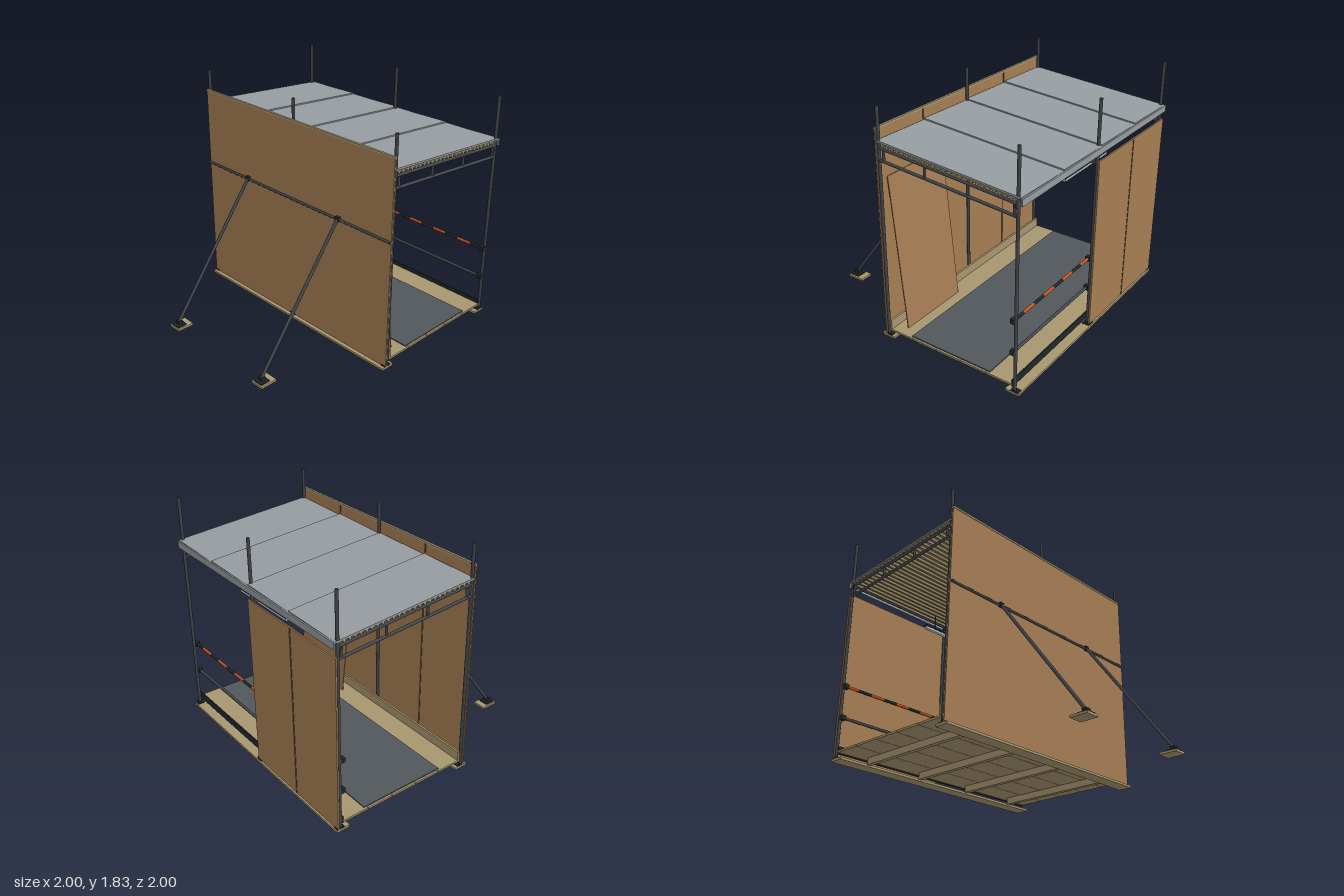
import * as THREE from 'three';

const mat = (name, color) => {
  const m = new THREE.MeshStandardMaterial({ color });
  m.name = name;
  return m;
};

export function createModel() {
  const root = new THREE.Group();
  root.name = 'coveredWalkway';
  const steel = mat('steel', 0x44484d);
  const clampMat = mat('darkClamp', 0x20282a);
  const ply = mat('plywood', 0xa67e54);
  const seamMat = mat('seam', 0x5c4931);
  const timber = mat('timber', 0xa8966f);
  const grey = mat('roofGrey', 0x959ca0);
  const rubber = mat('floorMat', 0x52575b);
  const orange = mat('warningOrange', 0xc8551c);
  const lampMat = mat('lampGlass', 0xc4c9cc);

  const add = (name, geo, material, parent = root) => {
    const mesh = new THREE.Mesh(geo, material);
    mesh.name = name;
    parent.add(mesh);
    return mesh;
  };
  // Box given by its extents on each axis
  const box = (name, material, [x0, x1], [y0, y1], [z0, z1], parent = root) => {
    const m = add(name, new THREE.BoxGeometry(x1 - x0, y1 - y0, z1 - z0), material, parent);
    m.position.set((x0 + x1) / 2, (y0 + y1) / 2, (z0 + z1) / 2);
    return m;
  };
  // Round tube between two points
  const tube = (name, material, a, b, r = 0.0115) => {
    const p = new THREE.Vector3(...a), q = new THREE.Vector3(...b);
    const m = add(name, new THREE.CylinderGeometry(r, r, p.distanceTo(q), 16), material);
    m.position.copy(p).add(q).multiplyScalar(0.5);
    m.quaternion.setFromUnitVectors(new THREE.Vector3(0, 1, 0), q.sub(p).normalize());
    return m;
  };
  const clamp = (x, y, z, s = 0.032) =>
    box('clamp', clampMat, [x - s / 2, x + s / 2], [y - s / 2, y + s / 2], [z - s / 2, z + s / 2]);

  const LX = -0.165, RX = 0.962, slope = 0.077;
  const frames = [-0.987, 0, 0.987];

  // Sole boards, joists and deck
  box('soleBoard', timber, [-0.22, -0.11], [0, 0.018], [-1, 1]);
  box('soleBoard', timber, [0.89, 1.0], [0, 0.018], [-1, 1]);
  for (const z of [-0.75, -0.25, 0.25, 0.75])
    box('joist', timber, [-0.1, 0.88], [0.008, 0.062], [z - 0.018, z + 0.018]);
  for (let i = 0; i < 5; i++) {
    const x = -0.15 + i * 0.219;
    box('deckPlank', timber, [x, x + 0.215], [0.06, 0.076], [-0.995, 0.995]);
  }
  box('floorMat', rubber, [0.05, 0.75], [0.076, 0.084], [-0.98, 0.98]);

  // Kick boards
  box('timberKickBoard', timber, [-0.148, -0.132], [0.076, 0.152], [-0.995, 0.995]);
  box('darkKickBoard', clampMat, [0.936, 0.946], [0.05, 0.108], [-0.99, 0.99]);

  // Posts and truss frames
  for (const z of frames) {
    for (const x of [LX, RX]) {
      tube('post', steel, [x, 0.025, z], [x, 1.83, z], 0.0125);
      const z0 = Math.max(-0.998, z - 0.03), z1 = Math.min(0.998, z + 0.03);
      box('basePlate', clampMat, [x - 0.03, x + 0.03], [0.018, 0.026], [z0, z1]);
      tube('baseSocket', clampMat, [x, 0.026, z], [x, 0.04, z], 0.0129);
    }
    const yTop = x => 1.53 - slope * (x - LX);
    tube('trussTopChord', steel, [LX, yTop(LX), z], [RX, yTop(RX), z]);
    tube('trussBottomChord', steel, [LX, yTop(LX) - 0.09, z], [RX, yTop(RX) - 0.09, z]);
    for (const x of [-0.125, 0.228, 0.577, 0.935])
      tube('trussUpright', steel, [x, yTop(x), z], [x, yTop(x) - 0.09, z], 0.01);
  }

  // Long eaves tube and its clamps
  tube('eavesTube', steel, [0.935, 1.43, -0.99], [0.935, 1.43, 0.99], 0.01);
  for (const z of [-0.983, 0, 0.983]) clamp(0.947, 1.43, z, 0.03);

  // Guard rails: plain lower rail and striped upper rail
  tube('lowerRail', steel, [0.938, 0.33, -0.99], [0.938, 0.33, 0.99]);
  for (let i = 0; i < 16; i++) {
    const z = 0.99 - i * 0.12375;
    tube('stripedRail', i % 2 ? orange : clampMat, [0.938, 0.58, z], [0.938, 0.58, z - 0.12375]);
  }
  for (const y of [0.33, 0.58])
    for (const z of [-0.98, 0, 0.98]) clamp(0.938, y, z, 0.036);

  // Solid wall with cap and joint strips
  box('wall', ply, [-0.19, -0.179], [0.018, 1.66], [-1, 1]);
  box('wallCap', timber, [-0.194, -0.175], [1.66, 1.675], [-1, 1]);
  for (const z of [-0.5, 0.5])
    box('wallSeam', seamMat, [-0.179, -0.176], [0.02, 1.655], [z - 0.007, z + 0.007]);

  // Half-length hoarding on the open side
  box('hoarding', ply, [0.976, 0.988], [0.02, 1.375], [-1, 0.015]);
  box('hoardingSeam', seamMat, [0.988, 0.991], [0.02, 1.375], [-0.507, -0.493]);

  // Board leaning on the wall
  const lean = add('leaningBoard', new THREE.BoxGeometry(0.008, 1.217, 0.606), ply);
  lean.position.set(-0.104, 0.686, 0.615);
  lean.rotation.z = Math.atan2(0.128, 1.21);

  // Outside brace tube and raking struts on footings
  tube('wallTube', steel, [-0.202, 1.05, -1], [-0.202, 1.05, 1], 0.01);
  for (const z of [-0.5, 0.5]) {
    tube('strut', steel, [-0.95, 0.045, z], [-0.2, 1.06, z], 0.0125);
    clamp(-0.198, 1.055, z, 0.034);
    box('footPad', timber, [-1, -0.86], [0, 0.018], [z - 0.055, z + 0.055]);
    box('footPlate', clampMat, [-0.99, -0.91], [0.018, 0.028], [z - 0.04, z + 0.04]);
    box('footHinge', clampMat, [-0.968, -0.93], [0.028, 0.056], [z - 0.02, z + 0.02]);
  }

  // Sloping roof: ribbed lining below, four overlapping sheets above
  const roof = new THREE.Group();
  roof.name = 'roof';
  roof.position.set(-0.172, 1.58, 0);
  roof.rotation.z = -Math.atan(slope);
  root.add(roof);
  const len = 1.165, ribs = 26;
  const profile = new THREE.Shape();
  profile.moveTo(0.01, -0.012);
  for (let i = 0; i < ribs; i++) {
    const x = 0.01 + (i * (len - 0.03)) / ribs, w = (len - 0.03) / ribs;
    profile.lineTo(x, -0.022);
    profile.lineTo(x + w * 0.5, -0.022);
    profile.lineTo(x + w * 0.6, -0.038);
    profile.lineTo(x + w * 0.9, -0.038);
    profile.lineTo(x + w, -0.022);
  }
  profile.lineTo(len - 0.02, -0.012);
  const lining = add('ribbedLining',
    new THREE.ExtrudeGeometry(profile, { depth: 1.99, bevelEnabled: false }), timber, roof);
  lining.position.z = -0.995;
  for (let i = 0; i < 4; i++) {
    const z = -0.75 + i * 0.5;
    const sheet = box('roofSheet', grey, [0, len], [-0.012, 0.002], [z - 0.25, z + 0.25], roof);
    sheet.rotation.x = -0.02;
  }
  box('fascia', grey, [0.988, 1.0], [1.437, 1.487], [-1, 1]);

  // Hanging strip lamp
  for (const z of [-0.19, 0.19])
    tube('lampRod', steel, [0.868, 1.33, z], [0.868, 1.45, z], 0.005);
  box('lampHousing', clampMat, [0.85, 0.886], [1.318, 1.332], [-0.3, 0.3]);
  box('lampGlass', lampMat, [0.853, 0.883], [1.3, 1.318], [-0.295, 0.295]);

  return root;
}
